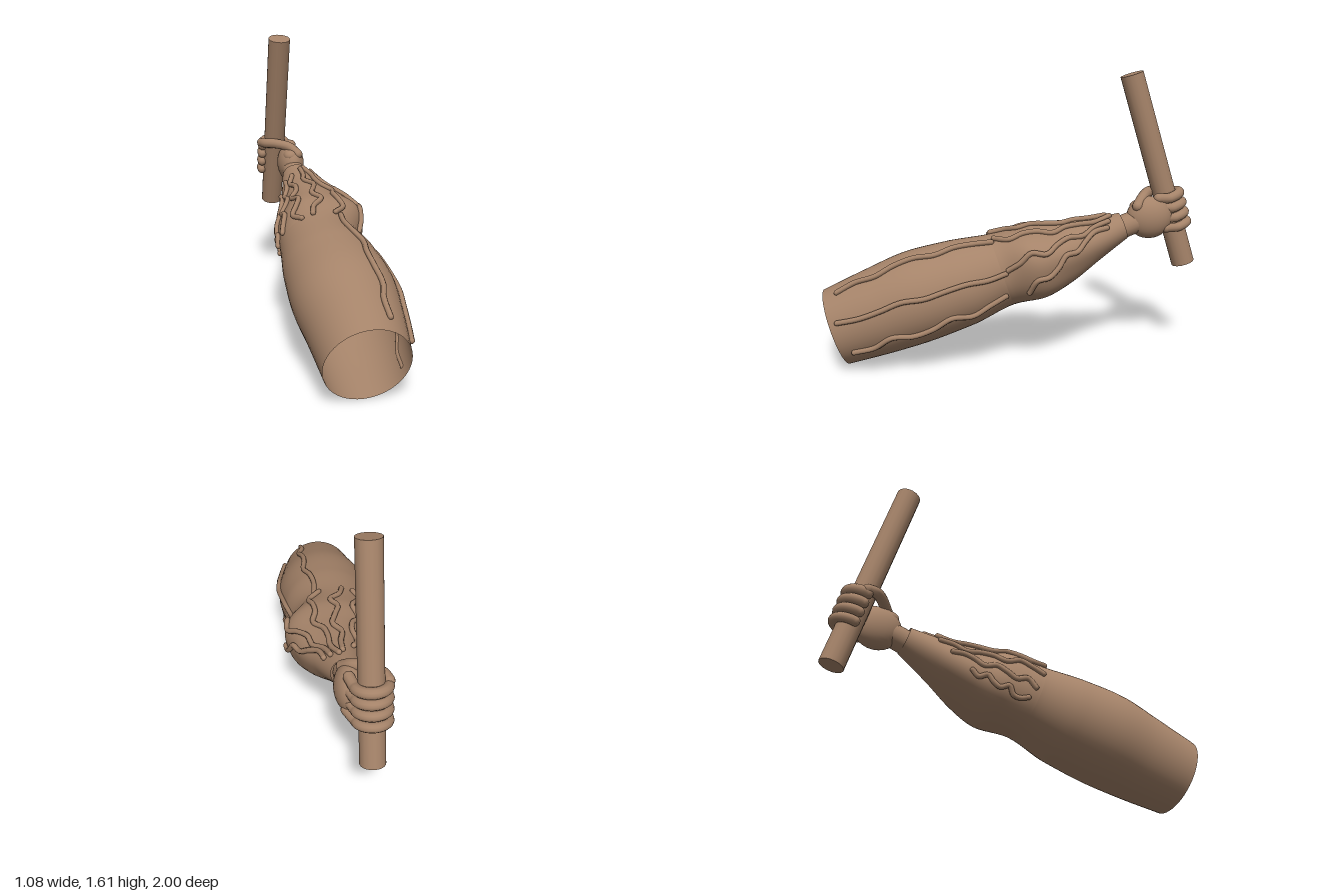
import * as THREE from 'three';

const V = (x, y, z) => new THREE.Vector3(x, y, z);
const skin = new THREE.MeshStandardMaterial({ color: 0xa58369, side: THREE.DoubleSide });
skin.name = 'clay brown';

// Arm cross-sections from shoulder to wrist: centre x, y, z, half width, half height
const SECTIONS = [
  [0.31, 0.205, 0.9, 0.22, 0.22],
  [0.235, 0.29, 0.68, 0.25, 0.245],
  [0.15, 0.375, 0.46, 0.275, 0.26],
  [0.06, 0.445, 0.24, 0.26, 0.245],
  [-0.025, 0.51, 0.04, 0.225, 0.21],
  [-0.045, 0.56, -0.13, 0.25, 0.205],
  [-0.1, 0.61, -0.29, 0.2, 0.165],
  [-0.18, 0.67, -0.44, 0.135, 0.12],
  [-0.26, 0.75, -0.61, 0.08, 0.075],
];
const LAST = SECTIONS.length - 1;
const ELBOW = 4;
const centres = new THREE.CatmullRomCurve3(SECTIONS.map(s => V(s[0], s[1], s[2])));
const radii = new THREE.CatmullRomCurve3(SECTIONS.map(s => V(s[3], s[4], 0)));

// Raised veins: first and last section number, first and last angle in degrees, wiggle
const VEINS = [
  [0.35, 4, 63, 66, 3],
  [0.2, 4.1, 18, 8, 2],
  [0.3, 3.9, -27, -30, 5],
  [4, 7.3, 126, 126, 7],
  [4.05, 7.6, 100, 93, 6],
  [4.1, 7.7, 66, 72, 6],
  [4.2, 7.6, 17, 50, 6],
  [4.6, 7.5, -26, 38, 6],
  [4.1, 7.2, 152, 148, 6],
  [4.2, 6.8, 183, 168, 5],
  [4.3, 6.1, 207, 195, 5],
];

// Arm axis and the two directions across it
const axis = V(-0.57, 0.545, -1.51).normalize();
const across = axis.clone().cross(V(0, 1, 0)).normalize();
const upward = across.clone().cross(axis);

// Point on the arm: s is the section number, angle runs from the outer side upward
function armPoint(s, angle, lift = 0) {
  const c = centres.getPoint(s / LAST);
  const r = radii.getPoint(s / LAST);
  const muscle = s > ELBOW ? Math.sin((s - ELBOW) / (LAST - ELBOW) * Math.PI) : 0;
  const k = 1 + 0.045 * muscle * Math.cos(4 * angle + 0.8 * s);
  return c.addScaledVector(across, (r.x * k + lift) * Math.cos(angle))
    .addScaledVector(upward, (r.y * k + lift) * Math.sin(angle));
}

// Open skin between two section numbers
function armSkin(from, to, rows, cols = 48) {
  const pos = [], index = [];
  for (let i = 0; i <= rows; i++) {
    for (let j = 0; j < cols; j++) {
      pos.push(...armPoint(from + (to - from) * i / rows, j / cols * Math.PI * 2).toArray());
      if (i === rows) continue;
      const a = i * cols + j, b = i * cols + (j + 1) % cols;
      index.push(a, a + cols, b, b, a + cols, b + cols);
    }
  }
  const g = new THREE.BufferGeometry();
  g.setAttribute('position', new THREE.Float32BufferAttribute(pos, 3));
  g.setIndex(index);
  g.computeVertexNormals();
  return g;
}

function add(parent, name, geometry) {
  const mesh = new THREE.Mesh(geometry, skin);
  mesh.name = name;
  parent.add(mesh);
  return mesh;
}

// Round tube through points, with rounded ends
function roundTube(parent, name, points, r, sides = 12) {
  const group = new THREE.Group();
  group.name = name;
  const curve = new THREE.CatmullRomCurve3(points, false, 'centripetal');
  add(group, name + 'Body', new THREE.TubeGeometry(curve, points.length * 6, r, sides));
  for (const p of [points[0], points[points.length - 1]]) {
    add(group, name + 'End', new THREE.SphereGeometry(r, sides, 8)).position.copy(p);
  }
  parent.add(group);
}

function ball(parent, name, p, rx, ry, rz) {
  const mesh = add(parent, name, new THREE.SphereGeometry(1, 28, 20));
  mesh.position.copy(p);
  mesh.scale.set(rx, ry, rz);
  return mesh;
}

export function createModel() {
  const model = new THREE.Group();
  model.name = 'armHoldingStick';

  add(model, 'upperArm', armSkin(0, ELBOW, 32));
  add(model, 'forearm', armSkin(ELBOW, LAST, 40));

  VEINS.forEach(([s0, s1, a0, a1, wiggle], i) => {
    const points = [];
    for (let k = 0; k <= 8; k++) {
      const degrees = THREE.MathUtils.lerp(a0, a1, k / 8) + wiggle * Math.sin(k * 2.2 + i * 1.7);
      points.push(armPoint(THREE.MathUtils.lerp(s0, s1, k / 8), THREE.MathUtils.degToRad(degrees), 0.008));
    }
    roundTube(model, 'vein' + (i + 1), points, 0.015, 8);
  });

  // Stick
  const low = V(-0.473, 0.505, -0.938), high = V(-0.354, 1.592, -0.625);
  const along = high.clone().sub(low);
  const stick = add(model, 'stick',
    new THREE.CylinderGeometry(0.066, 0.066, along.length(), 16));
  stick.position.copy(low).lerp(high, 0.5);
  stick.quaternion.setFromUnitVectors(V(0, 1, 0), along.clone().normalize());

  // Hand
  const hand = new THREE.Group();
  hand.name = 'hand';
  model.add(hand);
  roundTube(hand, 'wrist', [V(-0.25, 0.735, -0.59), V(-0.275, 0.76, -0.65), V(-0.3, 0.785, -0.72)], 0.066, 20);
  ball(hand, 'palm', V(-0.312, 0.795, -0.75), 0.083, 0.12, 0.13).rotation.y = 0.35;
  ball(hand, 'thumbBase', V(-0.3, 0.855, -0.7), 0.05, 0.042, 0.06);
  roundTube(hand, 'thumb', [
    V(-0.255, 0.865, -0.69), V(-0.31, 0.905, -0.71), V(-0.4, 0.922, -0.727),
    V(-0.47, 0.92, -0.75), V(-0.505, 0.915, -0.785)], 0.03);

  // Fingers curl round the back of the stick
  for (let i = 0; i < 4; i++) {
    const c = low.clone().lerp(high, (0.9 - i * 0.056 - low.y) / along.y);
    const points = [V(-0.315, c.y + 0.005, c.z + 0.025)];
    for (let d = 25; d <= 210; d += 18.5) {
      const a = -THREE.MathUtils.degToRad(d);
      const dx = 0.08 * Math.cos(a), dz = 0.08 * Math.sin(a);
      points.push(V(c.x + dx, c.y - 0.11 * dx - 0.29 * dz, c.z + dz));
    }
    roundTube(hand, 'finger' + (i + 1), points, 0.029 - i * 0.001);
  }
  return model;
}
